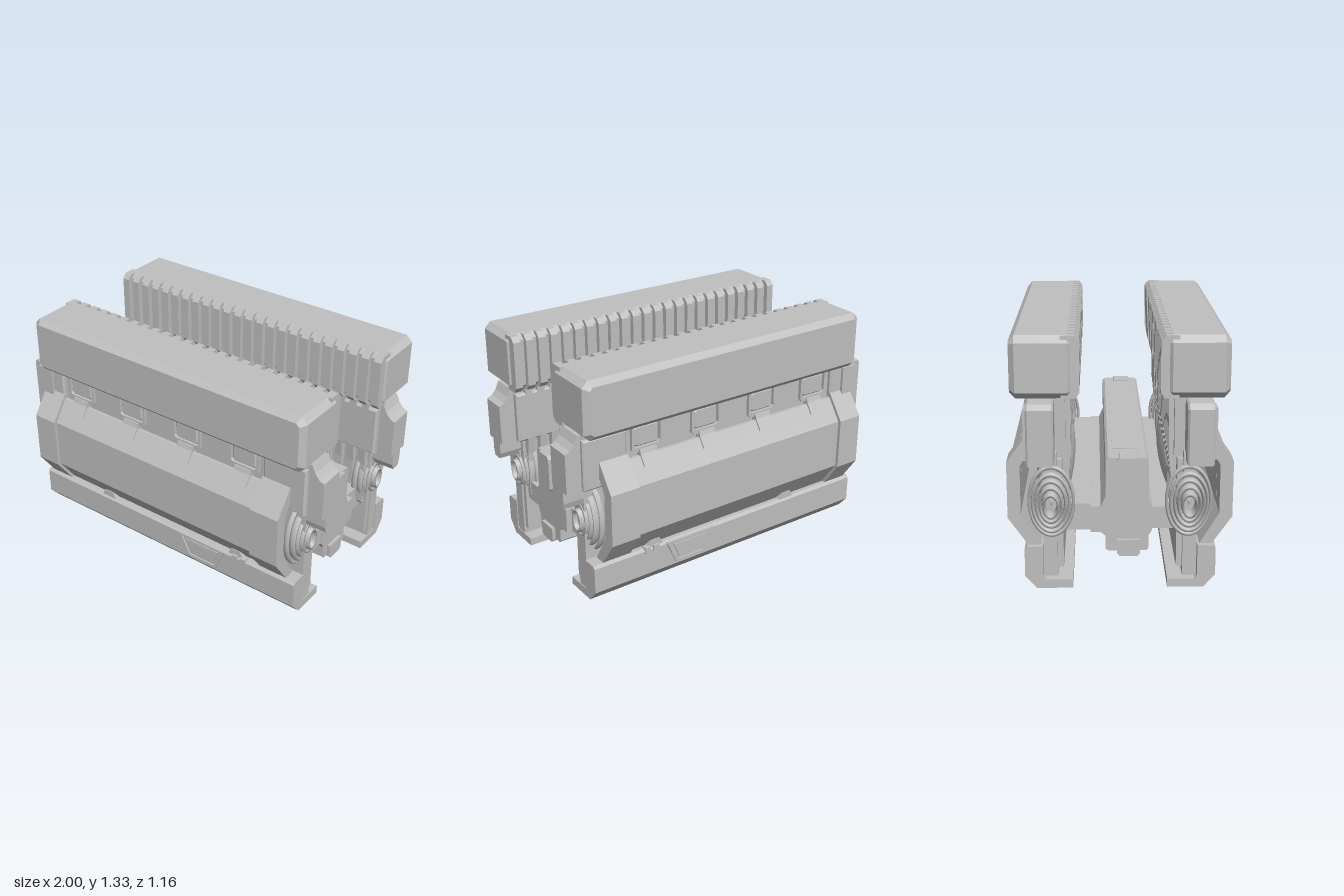
import * as THREE from 'three';

const grey = new THREE.MeshStandardMaterial({ color: 0xc0c0c0 });
grey.name = 'light grey';

const toShape = (pts) => new THREE.Shape(pts.map(([a, b]) => new THREE.Vector2(a, b)));

// Box given by its limits on each axis
function box(x0, x1, y0, y1, z0, z1) {
  return new THREE.BoxGeometry(x1 - x0, y1 - y0, z1 - z0)
    .translate((x0 + x1) / 2, (y0 + y1) / 2, (z0 + z1) / 2);
}

// (z, y) profile swept along x
function sweepX(pts, x0, x1) {
  return new THREE.ExtrudeGeometry(toShape(pts), { depth: x1 - x0, bevelEnabled: false })
    .rotateY(-Math.PI / 2).translate(x1, 0, 0);
}

// (x, y) outline swept along z, with optional hole and bevel inside the limits
function sweepZ(pts, z0, z1, bevel = 0, hole = null) {
  const shape = toShape(pts);
  if (hole) shape.holes.push(new THREE.Path(hole.map(([a, b]) => new THREE.Vector2(a, b))));
  return new THREE.ExtrudeGeometry(shape, {
    depth: z1 - z0 - 2 * bevel, bevelEnabled: bevel > 0, bevelSegments: 1,
    bevelSize: bevel, bevelOffset: -bevel, bevelThickness: bevel,
  }).translate(0, 0, z0 + bevel);
}

const rect = (x0, x1, y0, y1, c = 0) => c
  ? [[x0 + c, y0], [x1 - c, y0], [x1, y0 + c], [x1, y1 - c], [x1 - c, y1], [x0 + c, y1], [x0, y1 - c], [x0, y0 + c]]
  : [[x0, y0], [x1, y0], [x1, y1], [x0, y1]];

// Mirror across z = 0, restoring the corner order
function mirrorZ(geo) {
  const g = geo.index ? geo.toNonIndexed() : geo.clone();
  g.deleteAttribute('uv');
  g.clearGroups();
  g.scale(1, 1, -1);
  for (const name of ['position', 'normal']) {
    const a = g.attributes[name].array;
    for (let i = 0; i < a.length; i += 9)
      for (let k = 0; k < 3; k++) [a[i + 3 + k], a[i + 6 + k]] = [a[i + 6 + k], a[i + 3 + k]];
  }
  return g;
}

export function createModel() {
  const model = new THREE.Group();
  const front = new THREE.Group(), back = new THREE.Group(), core = new THREE.Group();
  front.name = 'frontBank'; back.name = 'backBank'; core.name = 'centralCore';
  model.add(front, back, core);

  const put = (parent, name, geo) => {
    const m = new THREE.Mesh(geo, grey);
    m.name = name;
    parent.add(m);
  };
  const both = (name, geo) => { put(front, name, geo); put(back, name, mirrorZ(geo)); };

  // Upper block with cooling fins on its inner side
  both('upperBlock', sweepZ(rect(-0.89, 0.94, 1.0, 1.325, 0.035), 0.235, 0.56, 0.03));
  const finProfile = [[0.205, 1.03], [0.23, 1.0], [0.3, 1.0], [0.3, 1.324], [0.23, 1.324], [0.205, 1.295]];
  const pitch = 0.0765;
  for (let i = 0; i < 24; i++) {
    const x = -0.875 + i * pitch;
    both('coolingFin', sweepX(finProfile, x, x + 0.045));
    // Ribs on the inner wall below
    if (i > 0 && i < 23) both('wallRib', sweepX(
      [[0.253, 0.7], [0.265, 0.58], [0.265, 0.32], [0.28, 0.3], [0.33, 0.3], [0.33, 1.0], [0.253, 1.0]],
      x, x + 0.045));
  }

  // Main wall and inner plate
  both('upperWall', box(-0.84, 0.9, 0.68, 1.0, 0.28, 0.446));
  both('backPlate', box(-0.9, 0.88, 0.04, 0.72, 0.326, 0.4));
  both('innerPlate', box(-0.87, 0.87, 0.085, 0.68, 0.295, 0.326));

  // End boxes
  both('leftCornerBox', sweepZ(rect(0.645, 0.91, 0.68, 0.97), 0.253, 0.467, 0.01));
  const bracket = [[0.86, 0.68], [1.0, 0.68], [1.0, 0.91], [0.97, 0.925], [0.945, 0.955], [0.925, 1.0], [0.86, 1.0]];
  both('leftEndBracket', sweepZ(bracket, 0.29, 0.44));
  both('leftEndStep', sweepX([[0.32, 0.61], [0.335, 0.575], [0.39, 0.575], [0.4, 0.61], [0.4, 0.69], [0.32, 0.69]], 0.87, 1.0));
  both('rightEndBox', sweepZ([[-1, 0.68], [-0.77, 0.68], [-0.77, 1], [-0.97, 1], [-1, 0.975]], 0.335, 0.475, 0.01));
  both('rightEndLug', box(-0.95, -0.85, 0.7, 0.97, 0.46, 0.49));

  // Framed covers with clips reaching over the shell
  for (const x of [-0.64, -0.257, 0.135, 0.52]) {
    both('coverFrame', sweepZ(rect(x - 0.095, x + 0.095, 0.82, 0.985, 0.015), 0.44, 0.467, 0,
      rect(x - 0.083, x + 0.083, 0.845, 0.973, 0.012)));
    both('coverPanel', sweepZ(rect(x - 0.076, x + 0.076, 0.85, 0.966, 0.012), 0.44, 0.464, 0.008));
    both('coverClip', sweepX([[0.44, 0.835], [0.44, 0.77], [0.5, 0.75], [0.523, 0.75], [0.483, 0.81], [0.475, 0.835]],
      x - 0.052, x + 0.052));
  }

  // Outer bent shell, thicker at both ends
  const middle = [[0.46, 0.8], [0.44, 0.78], [0.512, 0.66], [0.512, 0.4], [0.41, 0.23], [0.455, 0.232], [0.565, 0.385], [0.565, 0.675], [0.478, 0.8]];
  const end = [[0.455, 0.83], [0.435, 0.79], [0.512, 0.66], [0.512, 0.4], [0.41, 0.23], [0.475, 0.23], [0.58, 0.38], [0.58, 0.68], [0.472, 0.83]];
  both('shellMiddle', sweepX(middle, -0.765, 0.64));
  both('shellEnd', sweepX(end, -0.92, -0.77));
  both('shellEnd', sweepX(end, 0.645, 0.82));
  for (const x of [-0.45, 0.49])
    both('shellLatch', sweepZ([[x - 0.05, 0.232], [x + 0.05, 0.232], [x + 0.03, 0.27], [x - 0.03, 0.27]], 0.43, 0.488));

  // Drum with nested rings behind the shell
  const drum = new THREE.SphereGeometry(1, 28, 18).scale(0.87, 0.175, 0.11);
  both('drum', drum.translate(-0.04, 0.46, 0.355));
  for (const side of [-1, 1]) {
    for (let i = 0; i < 5; i++) {
      const s = 1 - i * 0.17;
      const ring = new THREE.TorusGeometry(1, 0.075 / s, 6, 36).scale(0.115 * s, 0.185 * s, 0.25)
        .rotateY(Math.PI / 2)
        .translate(-0.04 + side * (0.85 + 0.045 * Math.sqrt(1 - s * s)), 0.46, 0.355);
      both('drumRing', ring);
    }
  }

  // Lower skirt with an inward foot
  both('skirt', sweepX([[0.435, 0], [0.495, 0.07], [0.495, 0.218], [0.48, 0.232], [0.4, 0.232], [0.4, 0.06],
    [0.388, 0.046], [0.245, 0.046], [0.245, 0]], -0.95, 0.885));
  both('skirtFrame', sweepZ([[0.165, 0.085], [0.36, 0.085], [0.42, 0.225], [0.09, 0.225]], 0.49, 0.504, 0,
    [[0.175, 0.1], [0.348, 0.1], [0.395, 0.212], [0.118, 0.212]]));
  both('skirtFramePanel', sweepZ([[0.182, 0.115], [0.338, 0.115], [0.372, 0.2], [0.145, 0.2]], 0.49, 0.501));
  for (const x of [0.49, 0.545]) both('skirtCatch', box(x - 0.018, x + 0.018, 0.205, 0.24, 0.465, 0.502));

  // Central core: body, side wings, end straps and top plate
  put(core, 'coreBody', sweepX([[0.137, 0.68], [0.15, 0.667], [0.15, 0.44], [0.168, 0.42], [0.168, 0.28], [0.15, 0.25],
    [0.15, 0.18], [0.137, 0.167], [-0.062, 0.167], [-0.075, 0.18], [-0.075, 0.25], [-0.1, 0.272], [-0.154, 0.272],
    [-0.154, 0.415], [-0.1, 0.415], [-0.075, 0.47], [-0.075, 0.667], [-0.062, 0.68]], -0.855, 0.855));
  put(core, 'frontWing', box(-0.85, 0.85, 0.29, 0.41, 0.16, 0.3));
  put(core, 'backWing', box(-0.82, 0.82, 0.272, 0.418, -0.3, -0.15));
  put(core, 'topPlate', box(-0.7, 0.65, 0.675, 0.684, -0.04, 0.105));
  for (const s of [-1, 1]) {
    const a = s < 0 ? -0.88 : 0.77, b = s < 0 ? -0.77 : 0.875;
    put(core, 'endStrapUpper', sweepX([[-0.015, 0.485], [0, 0.47], [0.09, 0.47], [0.105, 0.485], [0.105, 0.67],
      [0.09, 0.686], [0, 0.686], [-0.015, 0.67]], a, b));
    put(core, 'endStrapLower', sweepX([[-0.015, 0.16], [0, 0.145], [0.09, 0.145], [0.105, 0.16], [0.105, 0.235],
      [-0.015, 0.235]], a, b));
  }
  return model;
}
